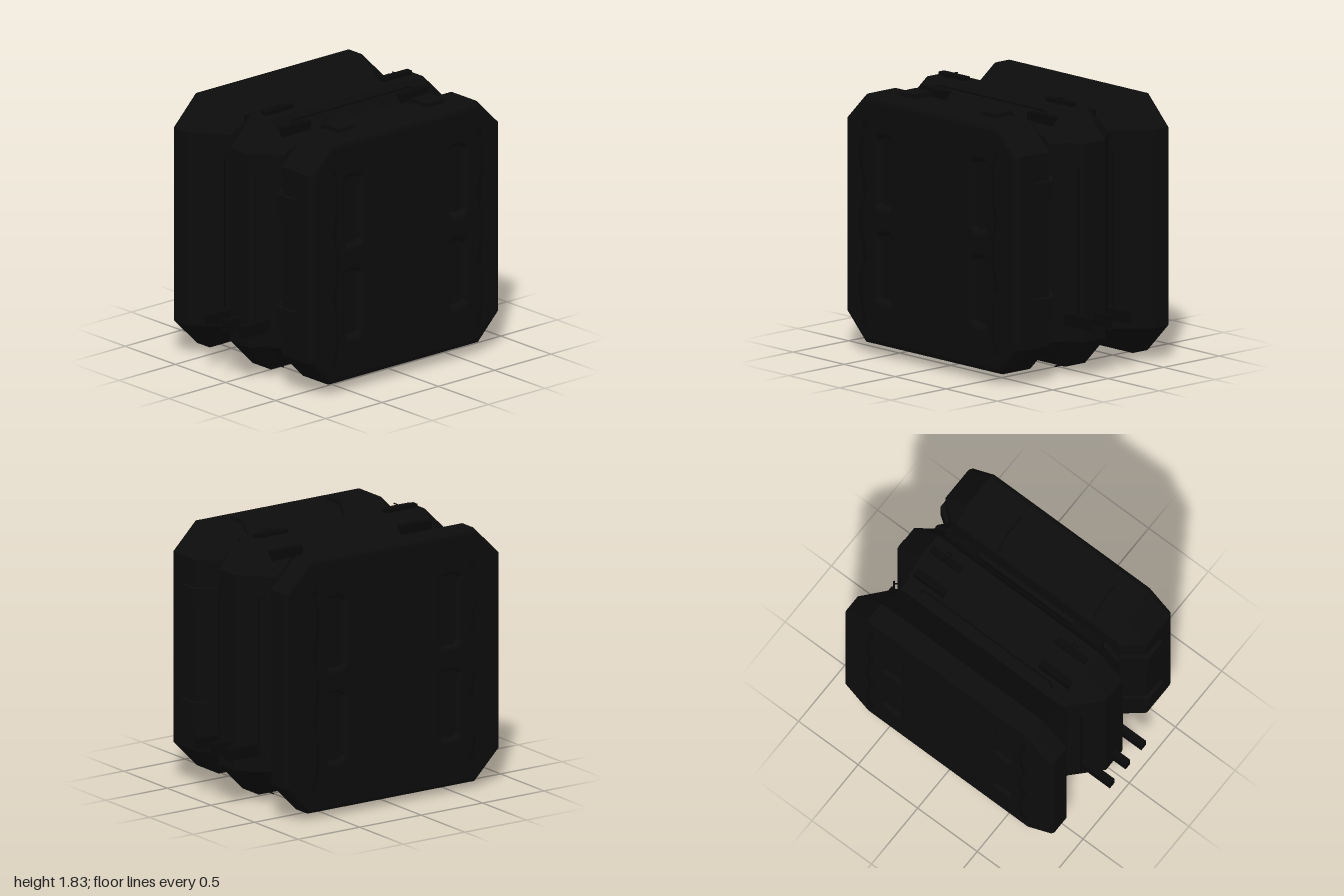
import * as THREE from 'three';

const CY = 0.925; // height of the crate's centre

// Chamfered square: half size h, straight edges ending at f
const octagon = (h, f) => [[h, -f], [h, f], [f, h], [-f, h], [-h, f], [-h, -f], [-f, -h], [f, -h]];

// Flat-shaded loft through chamfered squares; profile = [z, half size] from back to front
function loft(profile, flat) {
  const pos = [];
  const rings = profile.map(([z, h]) => octagon(h, Math.min(flat, h - 0.015)).map(([x, y]) => [x, y, z]));
  const tri = (a, b, c) => pos.push(...a, ...b, ...c);
  for (let i = 0; i < rings.length - 1; i++) {
    for (let k = 0; k < 8; k++) {
      const n = (k + 1) % 8, a = rings[i], b = rings[i + 1];
      tri(a[k], a[n], b[n]);
      tri(a[k], b[n], b[k]);
    }
  }
  const first = rings[0], last = rings[rings.length - 1];
  for (let k = 1; k < 7; k++) {
    tri(first[0], first[k + 1], first[k]);
    tri(last[0], last[k], last[k + 1]);
  }
  const g = new THREE.BufferGeometry();
  g.setAttribute('position', new THREE.Float32BufferAttribute(pos, 3));
  g.computeVertexNormals();
  return g;
}

// End plate with rounded rim and four recessed pockets; its back is sunk in the body
function endPlate(h, flat, bevel) {
  const shape = new THREE.Shape(octagon(h - bevel, flat - bevel * 0.4).map(p => new THREE.Vector2(...p)));
  for (const sx of [-1, 1]) {
    for (const [y0, y1] of [[-0.57, -0.05], [0.07, 0.61]]) {
      const x0 = sx * 0.465 - 0.1, x1 = sx * 0.465 + 0.1, c = 0.04;
      shape.holes.push(new THREE.Path([
        [x0 + c, y0], [x0, y0 + c], [x0, y1 - c], [x0 + c, y1],
        [x1 - c, y1], [x1, y1 - c], [x1, y0 + c], [x1 - c, y0],
      ].map(p => new THREE.Vector2(...p))));
    }
  }
  return new THREE.ExtrudeGeometry(shape, {
    depth: 0.005, bevelEnabled: true, bevelThickness: bevel, bevelSize: bevel, bevelSegments: 3,
  });
}

// Tube along a polyline with straight runs
function wire(points, radius) {
  const path = new THREE.CurvePath();
  const v = points.map(p => new THREE.Vector3(...p));
  for (let i = 0; i < v.length - 1; i++) path.add(new THREE.LineCurve3(v[i], v[i + 1]));
  return new THREE.TubeGeometry(path, points.length * 10, radius, 6);
}

export function createModel() {
  const model = new THREE.Group();
  const shell = new THREE.MeshStandardMaterial({ color: 0x0c0c0c });
  shell.name = 'black shell';
  const fitting = new THREE.MeshStandardMaterial({ color: 0x090909 });
  fitting.name = 'dark fittings';

  const add = (parent, name, geometry, material, x = 0, y = 0, z = 0) => {
    const m = new THREE.Mesh(geometry, material);
    m.name = name;
    m.position.set(x, y, z);
    parent.add(m);
    return m;
  };

  const crate = new THREE.Group();
  crate.name = 'crate';
  crate.position.y = CY;
  model.add(crate);

  // Three stacked sections: rear lid, ridged centre, front lid
  add(crate, 'rearLid', loft([[-0.645, 0.875], [-0.52, 0.875], [-0.31, 0.695], [-0.28, 0.695]], 0.675), shell);
  add(crate, 'centreSection', loft([
    [-0.28, 0.695], [-0.09, 0.875], [0.09, 0.875], [0.17, 0.768], [0.2, 0.768], [0.27, 0.71]], 0.675), shell);
  add(crate, 'frontLid', loft([[0.27, 0.7], [0.39, 0.845], [0.635, 0.845]], 0.66), shell);

  // End faces with pockets
  add(crate, 'frontPlate', endPlate(0.845, 0.66, 0.04), shell, 0, 0, 0.63);
  const rear = add(crate, 'rearPlate', endPlate(0.875, 0.675, 0.03), shell, 0, 0, -0.64);
  rear.rotation.y = Math.PI;

  // Wavy cable handles on both end faces
  const wave = [[0.67, 0.675], [0.69, 0.665], [0.69, 0.625], [0.713, 0.555], [0.713, 0.355], [0.69, 0.285], [0.69, 0.155],
    [0.713, 0.095], [0.713, -0.095], [0.69, -0.175], [0.69, -0.295], [0.713, -0.345], [0.713, -0.555],
    [0.69, -0.645], [0.69, -0.675], [0.67, -0.685]];
  for (const sz of [-1, 1]) {
    for (const sx of [-1, 1]) {
      const handle = new THREE.Group();
      handle.name = 'cableHandle';
      handle.position.x = sx * 0.64;
      crate.add(handle);
      add(handle, 'cable', wire(wave.map(([z, y]) => [0, y, z * sz]), 0.007), fitting);
      for (const y of [0.665, 0.22, -0.235, -0.675]) {
        for (const dy of [-0.016, 0.016]) {
          add(handle, 'clampRing', new THREE.TorusGeometry(0.017, 0.006, 6, 14), fitting, 0, y + dy, sz * 0.678);
        }
      }
    }
  }

  // Latch strap outline: follows the front lid's shoulder
  const strap = new THREE.Shape([[-0.53, 0.84], [-0.53, 0.875], [-0.375, 0.875], [-0.265, 0.722], [-0.265, 0.69], [-0.39, 0.84]]
    .map(p => new THREE.Vector2(...p)));

  // Fittings repeated on the four long sides
  for (let k = 0; k < 4; k++) {
    const side = new THREE.Group();
    side.name = ['topFittings', 'leftFittings', 'bottomFittings', 'rightFittings'][k];
    side.rotation.z = -k * Math.PI / 2;
    crate.add(side);

    // Long thin rails on the slopes of the centre section
    for (const [z, low, high, lean] of [[0.125, 0.79, 0.86, 0.015], [-0.245, 0.72, 0.785, -0.02]]) {
      const rail = [[-0.55, low, z - lean], [-0.55, high - 0.02, z + lean], [-0.53, high, z], [0.53, high, z],
        [0.55, high - 0.02, z + lean], [0.55, low, z - lean]];
      if (k % 2 === 0 || z > 0) rail.forEach(p => { p[1] -= 0.015; });
      add(side, 'rail', wire(rail, 0.006), fitting);
    }

    for (const s of [-1, 1]) {
      // Latch strap across the lid joint
      const latch = add(side, 'latchStrap',
        new THREE.ExtrudeGeometry(strap, { depth: 0.15, bevelEnabled: false }), shell, s * 0.395 - 0.075, 0, 0);
      latch.rotation.y = Math.PI / 2;

      // Curved loop on the centre ridge
      const x = s * 0.53;
      add(side, 'loop', wire([[x + s * 0.02, 0.87, -0.03], [x + s * 0.01, 0.895, -0.03], [x - s * 0.02, 0.91, -0.03],
        [x - s * 0.02, 0.91, 0.03], [x + s * 0.01, 0.895, 0.03], [x + s * 0.02, 0.87, 0.03]], 0.005), fitting);
    }
  }

  // Flat bars: three low on each flank, three on each end of the top
  for (const s of [-1, 1]) {
    for (const [z, topY] of [[-0.185, 0.785], [-0.015, 0.86], [0.155, 0.79]]) {
      add(crate, 'sideBar', new THREE.BoxGeometry(0.25, 0.08, 0.05), fitting, s * 0.875, -0.525, z);
      add(crate, 'topBar', new THREE.BoxGeometry(0.25, 0.08, 0.05), fitting, s * 0.525, topY, z);
    }
  }
  return model;
}
